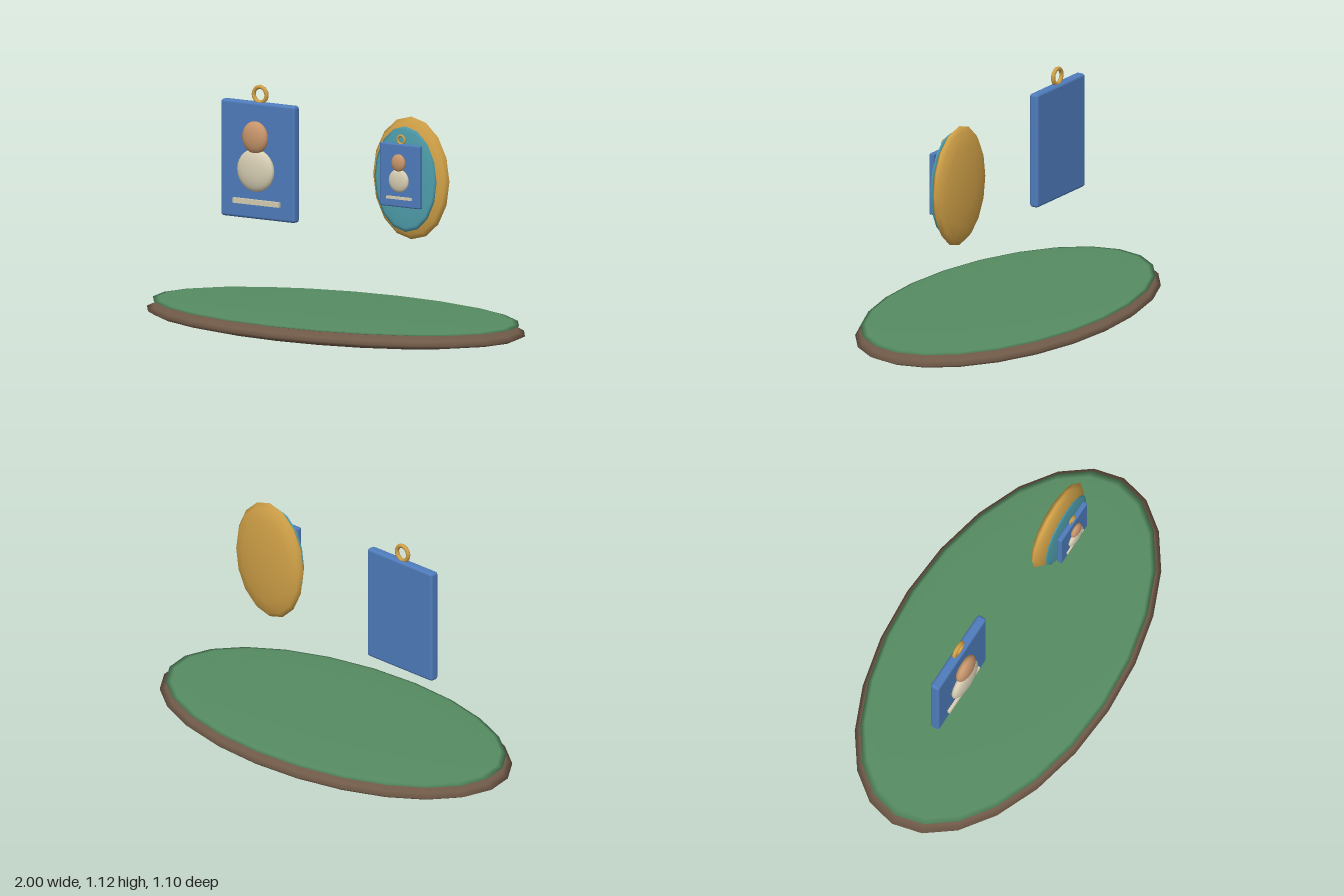
import * as THREE from 'three';
import { RoundedBoxGeometry } from 'three/addons/geometries/RoundedBoxGeometry.js';

const mat = (color) => new THREE.MeshStandardMaterial({ color });
const gold = mat(0xd2a248);
const blue = mat(0x4f7cbc);
const teal = mat(0x4f9fad);
const green = mat(0x568c62);
const brown = mat(0x705a48);
const skin = mat(0xc8966c);
const cream = mat(0xd8cfb4);

function addMesh(parent, name, geometry, material, x, y, z) {
  const mesh = new THREE.Mesh(geometry, material);
  mesh.name = name;
  mesh.position.set(x, y, z);
  parent.add(mesh);
  return mesh;
}

// Ellipsoid with its poles along y, or along z when it faces forward
function ellipsoid(radii, segments, rings, facing = false) {
  const geometry = new THREE.SphereGeometry(1, segments, rings);
  if (facing) geometry.rotateX(Math.PI / 2);
  return geometry.scale(...radii);
}

// Portrait card with hanging ring, centred on its own origin
function createCard(name) {
  const card = new THREE.Group();
  card.name = name;
  addMesh(card, 'cardPlate', new RoundedBoxGeometry(0.416, 0.544, 0.046, 3, 0.013), blue, 0, 0, 0);
  addMesh(card, 'portraitHead', ellipsoid([0.07, 0.076, 0.032], 20, 14), skin, 0, 0.112, 0.04);
  addMesh(card, 'portraitBody', ellipsoid([0.103, 0.1, 0.032], 20, 14), cream, 0, -0.042, 0.035);
  addMesh(card, 'captionBar', new THREE.BoxGeometry(0.26, 0.024, 0.018), cream, 0, -0.192, 0.028);
  addMesh(card, 'hangingRing', new THREE.TorusGeometry(0.036, 0.01, 8, 20), gold, 0, 0.307, 0);
  return card;
}

export function createModel() {
  const model = new THREE.Group();
  model.name = 'displayTray';

  // Oval tray with a felt cushion
  addMesh(model, 'trayBase', ellipsoid([1, 0.06, 0.548], 24, 12), brown, 0, 0.06, 0);
  addMesh(model, 'trayFelt', ellipsoid([0.97, 0.018, 0.525], 24, 12), green, 0, 0.105, 0);

  // Large card on the right
  const largeCard = createCard('largeCard');
  largeCard.position.set(-0.428, 0.768, 0);
  model.add(largeCard);

  // Oval locket on the left, carrying a small copy of the card
  const locket = new THREE.Group();
  locket.name = 'locket';
  locket.position.set(0.425, 0.767, 0);
  addMesh(locket, 'locketCase', ellipsoid([0.215, 0.286, 0.048], 16, 8, true), gold, 0, 0, 0);
  addMesh(locket, 'locketInlay', ellipsoid([0.175, 0.246, 0.012], 16, 8, true), teal, 0, 0, 0.046);
  const smallCard = createCard('smallCard');
  smallCard.scale.setScalar(0.541);
  smallCard.position.set(0, 0.022, 0.081);
  locket.add(smallCard);
  model.add(locket);

  return model;
}
